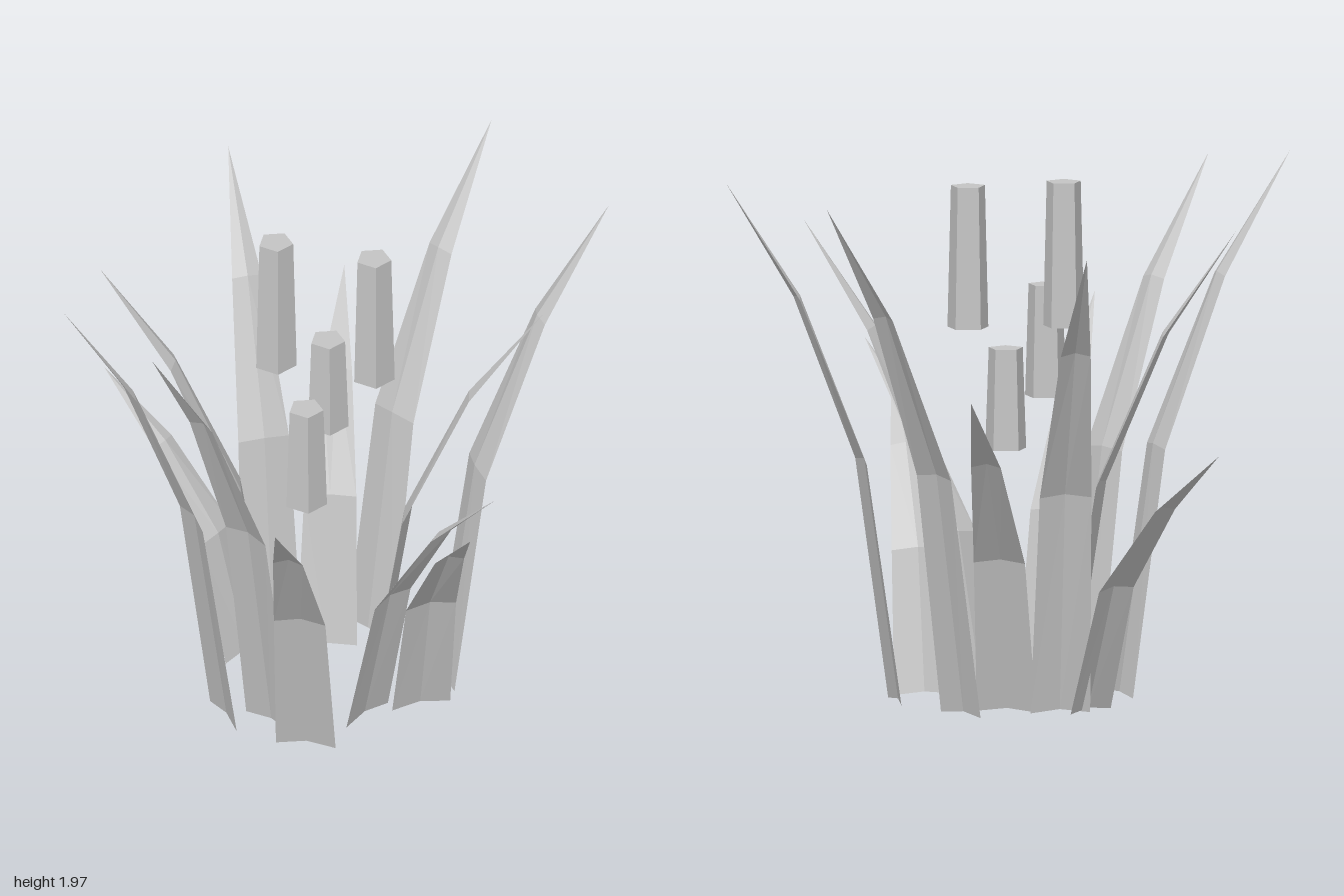
import * as THREE from 'three';

// Creased leaf blades: [base x, base z, tip x, tip y, tip z]
const BLADES = [
  [-0.02, 0.335, 0.0, 1.36, 1.0],
  [-0.18, 0.215, -0.5, 1.92, 0.78],
  [-0.35, 0.21, -0.865, 1.97, 0.605],
  [-0.225, -0.065, -0.85, 1.76, 0.0],
  [-0.364, -0.225, -0.93, 1.0, -0.48],
  [-0.27, -0.295, -0.55, 1.76, -0.87],
  [-0.075, -0.325, -0.14, 1.23, -0.97],
  [0.06, -0.45, 0.4, 1.92, -0.995],
  [0.385, -0.21, 0.93, 1.93, -0.525],
  [0.15, -0.08, 0.78, 1.74, -0.06],
  [0.16, 0.1, 0.7, 1.24, 0.435],
  [0.34, 0.0, 0.63, 1.12, 0.54],
];

// Cross-sections along a blade: [reach fraction, height fraction, half width]
const ROWS = [[0, 0, 0.11], [0.2, 0.46, 0.095], [0.58, 0.775, 0.055], [1, 1, 0]];

// Seed heads: [x, z, bottom y, top y]
const HEADS = [
  [-0.212, -0.065, 1.39, 1.92],
  [0.149, -0.075, 1.37, 1.89],
  [-0.02, 0.332, 1.07, 1.48],
  [-0.072, -0.324, 0.97, 1.34],
];

function bladeGeometry([bx, bz, tx, ty, tz]) {
  const dx = tx - bx, dz = tz - bz, reach = Math.hypot(dx, dz);
  const ux = dx / reach, uz = dz / reach;
  const positions = [], index = [];
  for (const [out, up, half] of ROWS) {
    for (const side of [-1, 0, 1]) {
      // the middle column is lifted and set inward to form the crease
      const crease = side === 0 && half > 0 ? 0.012 : 0;
      positions.push(
        bx + dx * out + uz * half * side - ux * crease,
        0.005 + (ty - 0.005) * up + crease,
        bz + dz * out - ux * half * side - uz * crease,
      );
    }
  }
  for (let r = 0; r < ROWS.length - 1; r++) {
    for (let c = 0; c < 2; c++) {
      const a = r * 3 + c, b = a + 1, d = a + 3, e = a + 4;
      index.push(a, b, e);
      if (r < ROWS.length - 2) index.push(a, e, d);
    }
  }
  const geometry = new THREE.BufferGeometry();
  geometry.setAttribute('position', new THREE.Float32BufferAttribute(positions, 3));
  geometry.setIndex(index);
  geometry.computeVertexNormals();
  return geometry;
}

export function createModel() {
  const model = new THREE.Group();
  model.name = 'reedClump';
  const grey = new THREE.MeshStandardMaterial({ color: 0xc4c4c4 });
  grey.name = 'plain grey';
  grey.flatShading = true;
  grey.side = THREE.DoubleSide;

  // Ring of bent leaf blades
  BLADES.forEach((blade, i) => {
    const mesh = new THREE.Mesh(bladeGeometry(blade), grey);
    mesh.name = `leafBlade${i + 1}`;
    model.add(mesh);
  });

  // Five-sided, slightly tapered seed heads
  HEADS.forEach(([x, z, y0, y1], i) => {
    const geometry = new THREE.CylinderGeometry(0.065, 0.078, y1 - y0, 5, 1, false, Math.PI / 2);
    const mesh = new THREE.Mesh(geometry, grey);
    mesh.position.set(x, (y0 + y1) / 2, z);
    mesh.name = `seedHead${i + 1}`;
    model.add(mesh);
  });
  return model;
}
